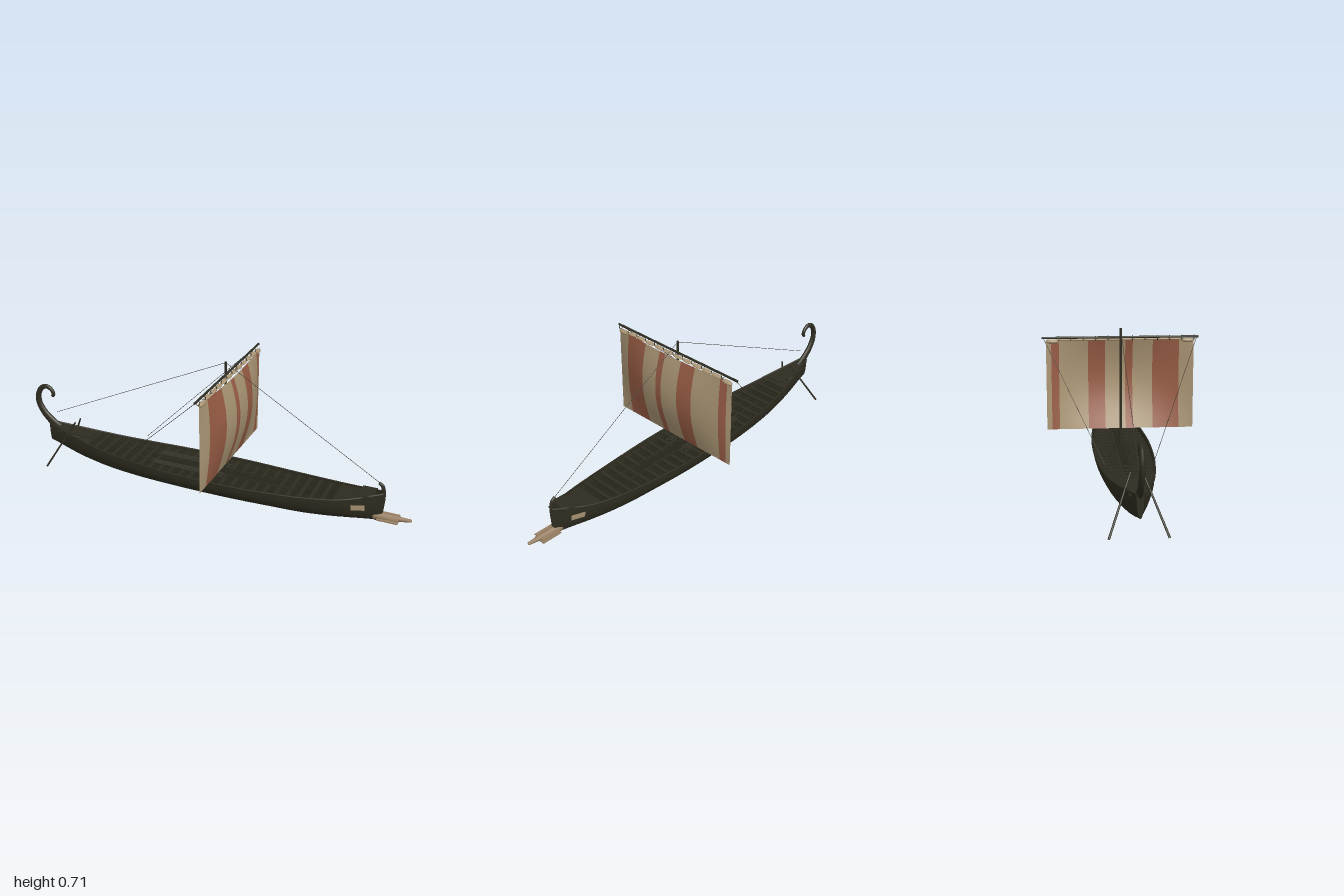
import * as THREE from 'three';

const mat = (name, color) => {
  const m = new THREE.MeshStandardMaterial({ color, side: THREE.DoubleSide });
  m.name = name;
  return m;
};
const V = (x, y, z) => new THREE.Vector3(x, y, z);

// Surface through a grid of points, one row per cross-section
function loft(rows) {
  const n = rows[0].length, pos = [], idx = [];
  rows.forEach(r => r.forEach(p => pos.push(p.x, p.y, p.z)));
  for (let i = 0; i < rows.length - 1; i++)
    for (let j = 0; j < n - 1; j++) {
      const a = i * n + j, b = a + n;
      idx.push(a, a + 1, b, a + 1, b + 1, b);
    }
  const g = new THREE.BufferGeometry();
  g.setAttribute('position', new THREE.Float32BufferAttribute(pos, 3));
  g.setIndex(idx);
  g.computeVertexNormals();
  return g;
}
const grid = (nu, nv, f) => loft(Array.from({ length: nu + 1 }, (_, i) =>
  Array.from({ length: nv + 1 }, (_, j) => f(i / nu, j / nv))));

// Tapered oval sweep along a curve lying in the xy plane
function sweep(pts, inPlane, across, n = 40) {
  const c = new THREE.CatmullRomCurve3(pts.map(p => V(p[0], p[1], 0)));
  return grid(n, 12, (t, u) => {
    const p = c.getPoint(t), d = c.getTangent(t), a = u * Math.PI * 2;
    const k = t > 0.999 ? 0 : 1, r = inPlane(t) * k * Math.cos(a);
    return V(p.x - d.y * r, p.y + d.x * r, across(t) * k * Math.sin(a));
  });
}

// Round bar between two points
function rod(a, b, r1, r2 = r1, sides = 8) {
  const d = b.clone().sub(a), g = new THREE.CylinderGeometry(r2, r1, d.length(), sides);
  g.applyQuaternion(new THREE.Quaternion().setFromUnitVectors(V(0, 1, 0), d.normalize()));
  const m = a.clone().add(b).multiplyScalar(0.5);
  return g.translate(m.x, m.y, m.z);
}
const box = (w, h, d, x, y, z) => new THREE.BoxGeometry(w, h, d).translate(x, y, z);

// Evenly spaced hull stations: half width, rail height, keel height
const X0 = -0.92, X1 = 0.86, POW = 2.3;
const stations = new THREE.CatmullRomCurve3([
  V(0.015, 0.2, 0.1), V(0.058, 0.172, 0.052), V(0.094, 0.149, 0.028), V(0.118, 0.138, 0.02),
  V(0.134, 0.134, 0.02), V(0.14, 0.133, 0.02), V(0.138, 0.133, 0.02), V(0.126, 0.135, 0.02),
  V(0.107, 0.141, 0.02), V(0.076, 0.156, 0.033), V(0.012, 0.195, 0.05)
], false, 'catmullrom', 0.5);
const at = x => {
  const p = stations.getPoint(THREE.MathUtils.clamp((x - X0) / (X1 - X0), 0, 1));
  return { w: p.x, top: p.y, keel: p.z };
};
const halfWidth = (x, y) => {
  const s = at(x), k = THREE.MathUtils.clamp((s.top - y) / (s.top - s.keel), 0, 1);
  return s.w * Math.pow(1 - Math.pow(k, POW), 1 / POW);
};

export function createModel() {
  const wood = mat('dark tarred wood', 0x2f2d20);
  const deckWood = mat('deck wood', 0x25241a);
  const rope = mat('rope', 0x3a382f);
  const cloth = mat('tan cloth', 0xab9675);
  const red = mat('red cloth', 0x995d45);
  const bronze = mat('ram bronze', 0x977f62);
  const model = new THREE.Group();
  const add = (name, g, m) => {
    const o = new THREE.Mesh(g, m);
    o.name = name;
    model.add(o);
    return o;
  };

  // Hull shell, with the stern closed
  add('hull', grid(72, 28, (t, u) => {
    const x = X0 + t * (X1 - X0), s = at(x), a = u * Math.PI;
    const c = Math.cos(a);
    return V(x, s.top - (s.top - s.keel) * Math.pow(Math.abs(Math.sin(a)), 2 / POW),
      s.w * Math.sign(c) * Math.pow(Math.abs(c), 2 / POW));
  }), wood);
  add('sternTransom', grid(8, 2, (t, u) => {
    const y = 0.1 + t * 0.1;
    return V(X0, y, (u * 2 - 1) * halfWidth(X0, y));
  }), wood);
  add('keel', sweep([[-0.92, 0.105], [-0.74, 0.055], [-0.56, 0.031], [-0.3, 0.023], [0, 0.023],
    [0.3, 0.023], [0.5, 0.023], [0.68, 0.036], [0.85, 0.053]], () => 0.005, () => 0.006, 60), wood);

  // Inner deck below the rails
  const floorY = x => at(x).top - 0.035;
  add('innerDeck', grid(50, 2, (t, u) => {
    const x = -0.9 + t * 1.73, y = floorY(x);
    return V(x, y, (1 - u * 2) * halfWidth(x, y));
  }), deckWood);

  // Rails, side stringers and end platforms
  for (const s of [1, -1]) {
    const rail = new THREE.CatmullRomCurve3(Array.from({ length: 25 }, (_, i) => {
      const x = X0 + (X1 - X0) * i / 24, p = at(x);
      return V(x, p.top, s * p.w);
    }));
    add('gunwale', new THREE.TubeGeometry(rail, 72, 0.0045, 6), wood);
    add('gangwayRail', box(0.95, 0.006, 0.006, -0.02, 0.128, s * 0.03), wood);
  }
  const platform = (x0, x1, dy) => grid(10, 2, (t, u) => {
    const x = x0 + t * (x1 - x0), p = at(x);
    return V(x, p.top + dy, (1 - 2 * u) * p.w * 0.96);
  });
  add('bowPlatform', platform(0.64, 0.82, -0.004), wood);
  add('sternPlatform', platform(-0.88, -0.66, -0.004), wood);
  add('sternSeat', box(0.2, 0.006, 0.08, -0.76, 0.176, 0).rotateZ(0), wood);
  add('bowStep', box(0.07, 0.006, 0.1, 0.785, 0.18, 0), wood);

  // Rowing benches
  for (let i = 0; i < 23; i++) {
    const x = -0.62 + i * 0.055, s = at(x);
    add('bench', box(0.018, 0.008, 2 * s.w * 0.95, x, s.top - 0.014, 0), wood);
  }
  add('gangway', box(1.1, 0.006, 0.035, -0.01, 0.122, 0), deckWood);

  // Stowed oars and spars amidships
  for (const s of [1, -1])
    for (let i = 0; i < 4; i++) {
      const z = s * (0.036 + i * 0.009), x = -0.31 + (i % 2) * 0.02;
      add('stowedOar', rod(V(x, 0.13, z), V(x + 0.39, 0.132, z + s * 0.004 * (i - 2)), 0.0035), wood);
    }

  // Curled sternpost and hooked bow post
  add('sternCurl', sweep([[-0.87, 0.175], [-0.915, 0.21], [-0.955, 0.25], [-0.982, 0.3], [-0.984, 0.345],
    [-0.965, 0.385], [-0.935, 0.402], [-0.905, 0.39], [-0.892, 0.365], [-0.9, 0.35]],
  t => 0.03 - 0.022 * Math.sqrt(t), t => 0.014 - 0.006 * t, 56), wood);
  add('bowPost', sweep([[0.842, 0.045], [0.85, 0.1], [0.857, 0.16], [0.857, 0.205], [0.85, 0.23], [0.832, 0.243]],
    t => 0.015 - 0.008 * t, () => 0.0075), wood);

  // Ram: round core with finned blades
  add('ramCore', sweep([[0.82, 0.071], [0.87, 0.072], [0.92, 0.074], [0.96, 0.076], [1, 0.079]],
    t => 0.021 - 0.014 * t, t => 0.02 - 0.013 * t), bronze);
  for (const y of [0.062, 0.078])
    add('ramBlade', box(0.1, 0.005, 0.06, 0.89, y, 0), bronze);
  add('ramTip', box(0.14, 0.005, 0.016, 0.925, 0.077, 0), bronze);

  // Pale eye panels at the bow
  for (const s of [1, -1])
    add('eyePanel', grid(4, 4, (u, v) => {
      const x = 0.725 + 0.06 * u, y = 0.102 + 0.03 * v;
      return V(x, y, s * (halfWidth(x, y) + 0.002));
    }), cloth);

  // Steering oars
  for (const s of [1, -1]) {
    add('steeringOar', rod(V(-0.885, 0.004, s * 0.122), V(-0.755, 0.24, s * 0.025), 0.005, 0.004), wood);
    add('tiller', rod(V(-0.79, 0.178, s * 0.05), V(-0.72, 0.168, s * 0.045), 0.004), wood);
  }

  // Mast and yard
  add('mast', rod(V(0.072, 0.03, 0), V(0.072, 0.708, 0), 0.0065, 0.0055, 10), wood);
  add('yard', rod(V(0.088, 0.662, -0.38), V(0.088, 0.662, 0.38), 0.0055, 0.0055, 10), wood);

  // Billowing sail in coloured vertical bands
  const sailPoint = (z, v) => V(
    0.1 + 0.06 * (1 - (z / 0.36) ** 2) * Math.sin(Math.PI * 0.87 * v), 0.205 + 0.447 * v, z);
  const edges = [-0.36, -0.335, -0.298, -0.155, -0.072, 0.028, 0.064, 0.162, 0.29, 0.36];
  for (let i = 0; i < edges.length - 1; i++)
    add(i % 2 ? 'redSailBand' : 'tanSailBand', grid(6, 20, (u, v) =>
      sailPoint(edges[i] + (edges[i + 1] - edges[i]) * u, v)), i % 2 ? red : cloth);

  // Gathered cloth along the yard with lashings
  for (let i = 0; i < 12; i++) {
    const z = -0.33 + i * 0.06, end = i === 0 || i === 11;
    const g = new THREE.SphereGeometry(1, 12, 8).scale(0.013, end ? 0.011 : 0.006, 0.032);
    add('gatheredCloth', g.translate(0.1, end ? 0.642 : 0.65, z), cloth);
    add('lashing', new THREE.TorusGeometry(0.011, 0.0018, 5, 12).translate(0.093, 0.657, z + 0.03), rope);
  }

  // Rigging lines
  const top = V(0.072, 0.704, 0);
  add('backstay', rod(top, V(-0.88, 0.265, 0), 0.0012, 0.0012, 5), rope);
  add('forestay', rod(top, V(0.838, 0.242, 0), 0.0012, 0.0012, 5), rope);
  for (const s of [1, -1])
    add('brace', rod(V(0.088, 0.66, s * 0.372), V(-0.41, 0.17, s * 0.108), 0.0012, 0.0012, 5), rope);

  return model;
}
